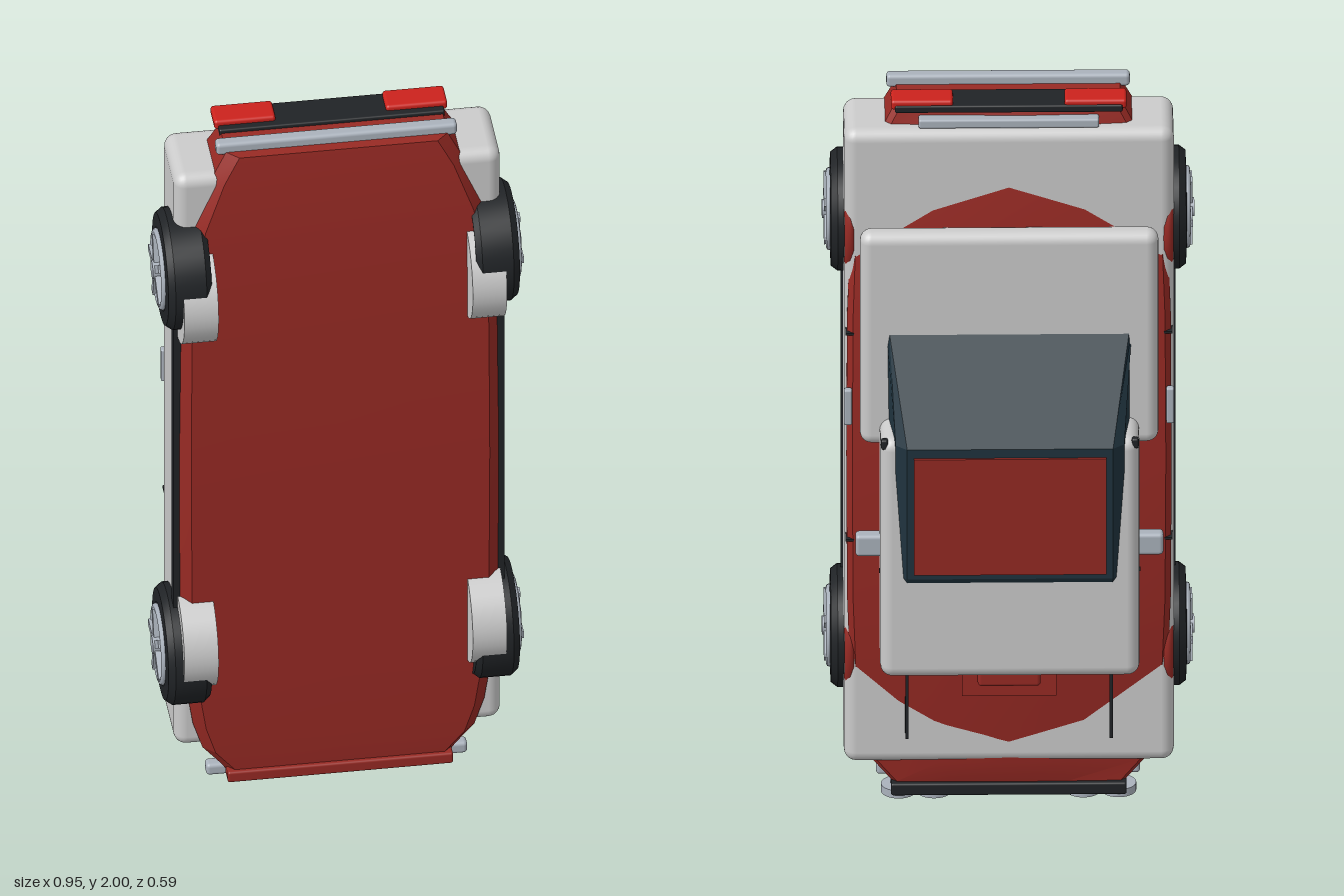
import * as THREE from 'three';
import { toCreasedNormals } from 'three/addons/utils/BufferGeometryUtils.js';
import { RoundedBoxGeometry } from 'three/addons/geometries/RoundedBoxGeometry.js';

// A car standing on its nose: length runs along y (nose at y = 0), its roof faces -z.
const mat = (color) => new THREE.MeshStandardMaterial({ color });
const GREY = mat(0xcccccc), RED = mat(0x982a24), LAMP = mat(0xcc221c);
const GLASS = mat(0x20343f), BLACK = mat(0x202326), CHROME = mat(0xaab2bc);

export function createModel() {
  const car = new THREE.Group();
  car.name = 'car';

  const add = (name, geo, material, parent = car) => {
    const m = new THREE.Mesh(geo, material);
    m.name = name;
    parent.add(m);
    return m;
  };

  // Box from its limits, rounded when r > 0
  const box = (name, material, [x0, x1], [y0, y1], [z0, z1], r = 0) => {
    const s = [x1 - x0, y1 - y0, z1 - z0];
    const geo = r ? new RoundedBoxGeometry(...s, 3, r) : new THREE.BoxGeometry(...s);
    const m = add(name, geo, material);
    m.position.set((x0 + x1) / 2, (y0 + y1) / 2, (z0 + z1) / 2);
    return m;
  };
  const pair = (name, material, [x0, x1], y, z, r) => {
    box(name + 'Left', material, [x0, x1], y, z, r);
    box(name + 'Right', material, [-x1, -x0], y, z, r);
  };

  // Closed skin over mirrored half sections, each { y, pts: [[x, z], ...] } from floor to crown
  const loft = (sections) => {
    const pos = [], idx = [];
    const rings = sections.map(({ y, pts }) => {
      const mirrored = pts.slice(1, -1).reverse().map(([x, z]) => [-x, z]);
      return [...pts, ...mirrored].map(([x, z]) => [x, y, z]);
    });
    const n = rings[0].length;
    rings.forEach((ring) => ring.forEach((p) => pos.push(...p)));
    for (let i = 0; i < rings.length - 1; i++) {
      for (let j = 0; j < n; j++) {
        const a = i * n + j, b = i * n + (j + 1) % n;
        idx.push(a, b, b + n, a, b + n, a + n);
      }
    }
    const top = (rings.length - 1) * n;
    for (let j = 1; j < n - 1; j++) {
      idx.push(0, j + 1, j);
      idx.push(top, top + j, top + j + 1);
    }
    const g = new THREE.BufferGeometry();
    g.setAttribute('position', new THREE.Float32BufferAttribute(pos, 3));
    g.setIndex(idx);
    return toCreasedNormals(g, 0.3);
  };

  // Red shell: y, half width, floor z, shoulder z, crown z
  const shell = [
    [0.035, 0.285, 0.185, -0.03, -0.035], [0.06, 0.30, 0.188, -0.04, -0.045],
    [0.12, 0.35, 0.19, -0.04, -0.055], [0.20, 0.375, 0.193, -0.045, -0.064],
    [0.40, 0.405, 0.195, -0.062, -0.088], [0.60, 0.412, 0.197, -0.083, -0.1],
    [1.00, 0.414, 0.197, -0.09, -0.105], [1.40, 0.412, 0.195, -0.08, -0.095],
    [1.60, 0.405, 0.19, -0.058, -0.082], [1.76, 0.375, 0.182, -0.04, -0.062],
    [1.90, 0.325, 0.172, -0.02, -0.04], [1.975, 0.285, 0.163, -0.005, -0.01],
  ].map(([y, w, zf, zs, zc]) => ({
    y,
    pts: [[0, zf], [w - 0.03, zf], [w, zf - 0.03], [w, zs + 0.015], [w - 0.015, zs],
      [w * 0.5, zs + (zc - zs) * 0.65], [0, zc]],
  }));
  add('bodyShell', loft(shell), RED);

  // Rounded grey blocks: lower body, rear deck, cabin
  box('lowerBody', GREY, [-0.42, 0.42], [0.12, 1.92], [-0.062, 0.157], 0.032);
  box('rearDeck', GREY, [-0.38, 0.38], [1.06, 1.66], [-0.132, -0.065], 0.03);
  box('cabin', GREY, [-0.33, 0.33], [0.46, 1.14], [-0.262, -0.08], 0.032);

  // Dark greenhouse with sloping rear window: y, base half width, roof half width, roof z
  const glass = [
    [0.50, 0.30, 0.25, -0.13], [0.75, 0.31, 0.262, -0.27],
    [1.13, 0.31, 0.262, -0.293], [1.38, 0.31, 0.305, -0.13],
  ].map(([y, wb, wr, z]) => ({
    y, pts: [[0, -0.1], [wb, -0.1], [(wb + wr) / 2 + 0.005, Math.min(z + 0.026, -0.11)], [wr, z], [0, z]],
  }));
  add('greenhouse', loft(glass), GLASS);
  const roof = box('roofPanel', RED, [-0.245, 0.245], [0.765, 1.105], [-0.288, -0.272]);
  roof.rotation.x = -0.06;
  pair('pillarCap', BLACK, [0.31, 0.328], [1.11, 1.138], [-0.255, -0.235], 0.006);

  // Side trim, mirrors, handles
  pair('sill', BLACK, [0.395, 0.426], [0.56, 1.48], [0.135, 0.17]);
  pair('mirror', CHROME, [0.31, 0.392], [0.76, 0.82], [-0.163, -0.123], 0.01);
  pair('doorHandle', CHROME, [0.40, 0.42], [1.105, 1.205], [-0.103, -0.082], 0.005);
  pair('doorGapRear', BLACK, [0.395, 0.416], [1.352, 1.358], [-0.083, -0.045]);
  pair('doorGapFront', BLACK, [0.395, 0.416], [0.768, 0.774], [-0.088, -0.045]);
  pair('doorLock', BLACK, [0.325, 0.333], [0.737, 0.747], [-0.205, -0.197]);

  // Bonnet
  box('bonnetScoop', RED, [-0.08, 0.08], [0.365, 0.47], [-0.117, -0.07], 0.01);
  box('scoopBase', RED, [-0.12, 0.12], [0.33, 0.47], [-0.095, -0.07]);
  pair('bonnetLine', BLACK, [0.256, 0.264], [0.21, 0.46], [-0.1, -0.06]);

  // Nose
  box('frontBumper', CHROME, [-0.336, 0.336], [0.008, 0.042], [0.1, 0.136], 0.01);
  box('frontLip', RED, [-0.29, 0.29], [0.028, 0.06], [0.15, 0.2], 0.006);
  box('grille', BLACK, [-0.3, 0.3], [0.026, 0.06], [-0.056, 0.05], 0.006);
  for (let i = -2; i <= 2; i++) {
    const x = i * 0.06;
    box('grilleBar', CHROME, [x - 0.005, x + 0.005], [0.02, 0.03], [-0.04, 0.04]);
  }
  for (const x of [-0.28, -0.19, 0.19, 0.28]) {
    const rim = add('headlightRim', new THREE.CylinderGeometry(0.045, 0.045, 0.022, 28), CHROME);
    rim.position.set(x, 0.023, 0.003);
    const lens = add('headlightLens', new THREE.SphereGeometry(0.04, 24, 12), GREY);
    lens.scale.y = 0.25;
    lens.position.set(x, 0.012, 0.003);
  }

  // Tail
  box('rearBumper', CHROME, [-0.31, 0.31], [1.965, 2.0], [0.098, 0.134], 0.01);
  box('tailPanel', BLACK, [-0.29, 0.29], [1.965, 1.985], [-0.047, 0.052], 0.005);
  pair('tailLight', LAMP, [0.142, 0.3], [1.972, 1.998], [-0.043, 0.031], 0.008);
  box('trunkTrim', CHROME, [-0.23, 0.23], [1.92, 1.945], [-0.047, -0.012], 0.006);

  // Wheels, built along +x and turned round for the right side
  const tyreProfile = [[0.1, -0.055], [0.145, -0.06], [0.158, -0.045], [0.158, 0.035],
    [0.145, 0.052], [0.108, 0.054], [0.1, 0.035]].map(([r, h]) => new THREE.Vector2(r, h));
  const tyreGeo = toCreasedNormals(new THREE.LatheGeometry(tyreProfile, 40), 0.6).rotateZ(-Math.PI / 2);
  const disc = (r, h) => new THREE.CylinderGeometry(r, r, h, 36).rotateZ(Math.PI / 2);
  const makeWheel = () => {
    const w = new THREE.Group();
    w.name = 'wheel';
    add('tyre', tyreGeo, BLACK, w);
    add('rimDish', disc(0.102, 0.085), GREY, w);
    add('rimRing', new THREE.TorusGeometry(0.097, 0.009, 8, 40).rotateY(Math.PI / 2), CHROME, w)
      .position.x = 0.055;
    add('hub', disc(0.024, 0.04), CHROME, w).position.x = 0.054;
    for (let i = 0; i < 5; i++) {
      const spoke = add('spoke', new THREE.BoxGeometry(0.022, 0.09, 0.02).translate(0, 0.052, 0), CHROME, w);
      spoke.position.x = 0.058;
      spoke.rotation.x = Math.PI / 2 + i * Math.PI * 0.4;
    }
    return w;
  };
  for (const side of [1, -1]) {
    for (const [y, shift] of [[0.427, 0.05], [1.613, -0.048]]) {
      const wheel = makeWheel();
      wheel.position.set(side * 0.4, y, 0.118);
      if (side < 0) wheel.rotation.y = Math.PI;
      car.add(wheel);

      // Offset inner drum and red arch above the wheel
      add('innerDrum', disc(0.135, 0.088), GREY).position.set(side * 0.371, y + shift, 0.155);
      const arch = add('wheelArch', new THREE.TorusGeometry(0.172, 0.014, 8, 32, Math.PI)
        .rotateY(Math.PI / 2).rotateX(-Math.PI / 2), RED);
      arch.rotation.set(0, 0, 0);
      arch.position.set(side * 0.405, y, 0.118);
    }
  }
  return car;
}
